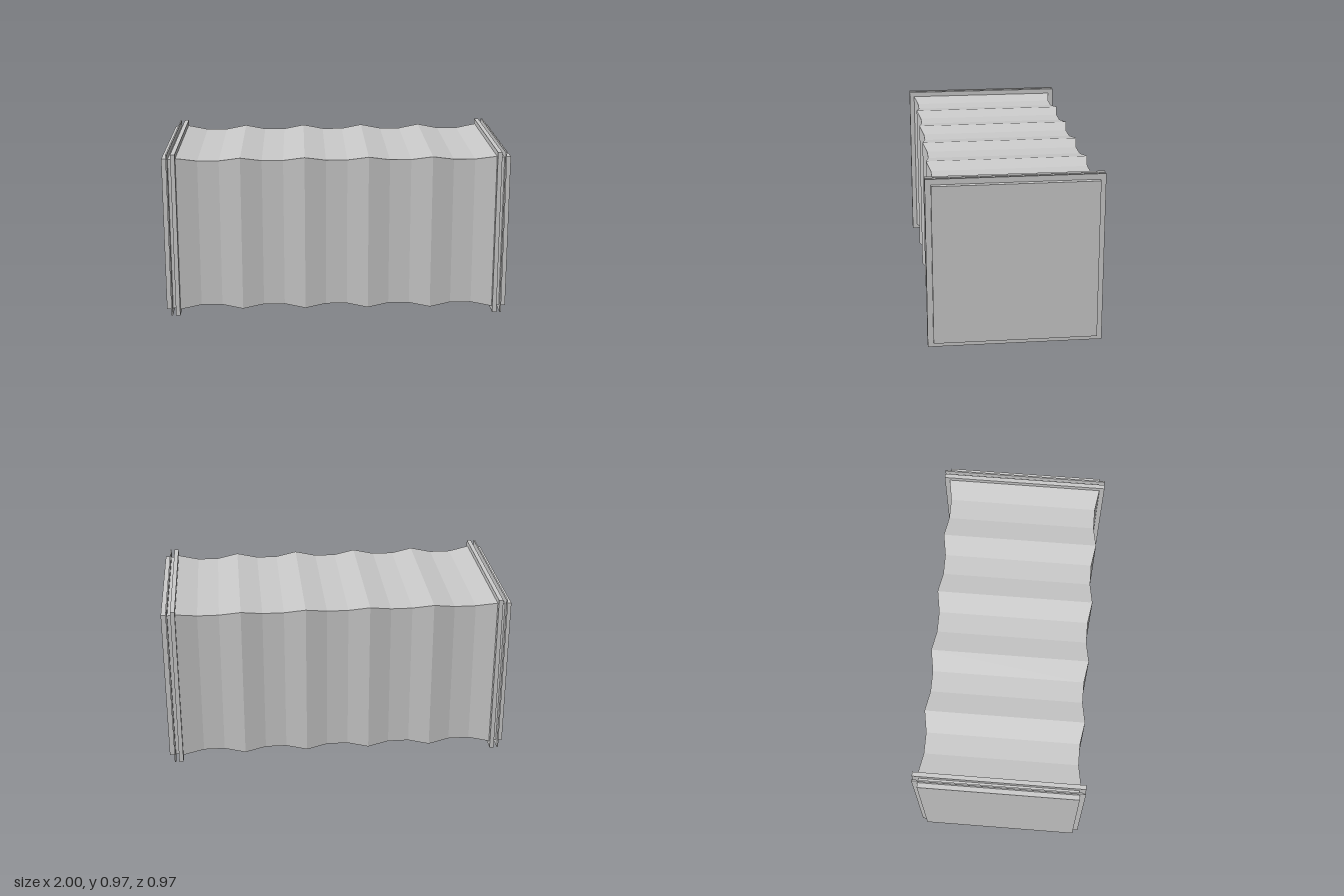
import * as THREE from 'three';

const CENTRE_Y = 0.485;
const material = new THREE.MeshStandardMaterial({ color: 0xcccccc, flatShading: true });

// Square block spanning x0..x1 with the given half height and half depth
function slab(name, x0, x1, half) {
  const mesh = new THREE.Mesh(new THREE.BoxGeometry(x1 - x0, half * 2, half * 2), material);
  mesh.name = name;
  mesh.position.x = (x0 + x1) / 2;
  return mesh;
}

// Pleated square sleeve: each fold is a slope in, a flat valley and a slope out
function bellows() {
  const folds = 5, length = 1.84, ridge = 0.456, valley = 0.436;
  const geometry = new THREE.BoxGeometry(length, 2, 2, folds * 3, 1, 1);
  const pos = geometry.attributes.position;
  for (let i = 0; i < pos.count; i++) {
    const ring = Math.round((pos.getX(i) / length + 0.5) * folds * 3);
    const half = ring % 3 === 0 ? ridge : valley;
    pos.setY(i, pos.getY(i) * half);
    pos.setZ(i, pos.getZ(i) * half);
  }
  geometry.computeVertexNormals();
  const mesh = new THREE.Mesh(geometry, material);
  mesh.name = 'bellows';
  return mesh;
}

// End connector, built towards +x
function endConnector(name) {
  const group = new THREE.Group();
  group.name = name;
  group.add(
    slab('clampFlange', 0.92, 0.945, 0.485),
    slab('neck', 0.945, 0.964, 0.45),
    slab('thinFlange', 0.964, 0.972, 0.485),
    slab('endCollar', 0.972, 1, 0.4535)
  );
  return group;
}

export function createModel() {
  const model = new THREE.Group();
  model.name = 'flexibleDuctConnector';
  const left = endConnector('leftConnector');
  const right = endConnector('rightConnector');
  right.rotation.y = Math.PI;
  for (const part of [bellows(), left, right]) {
    part.position.y = CENTRE_Y;
    model.add(part);
  }
  return model;
}
